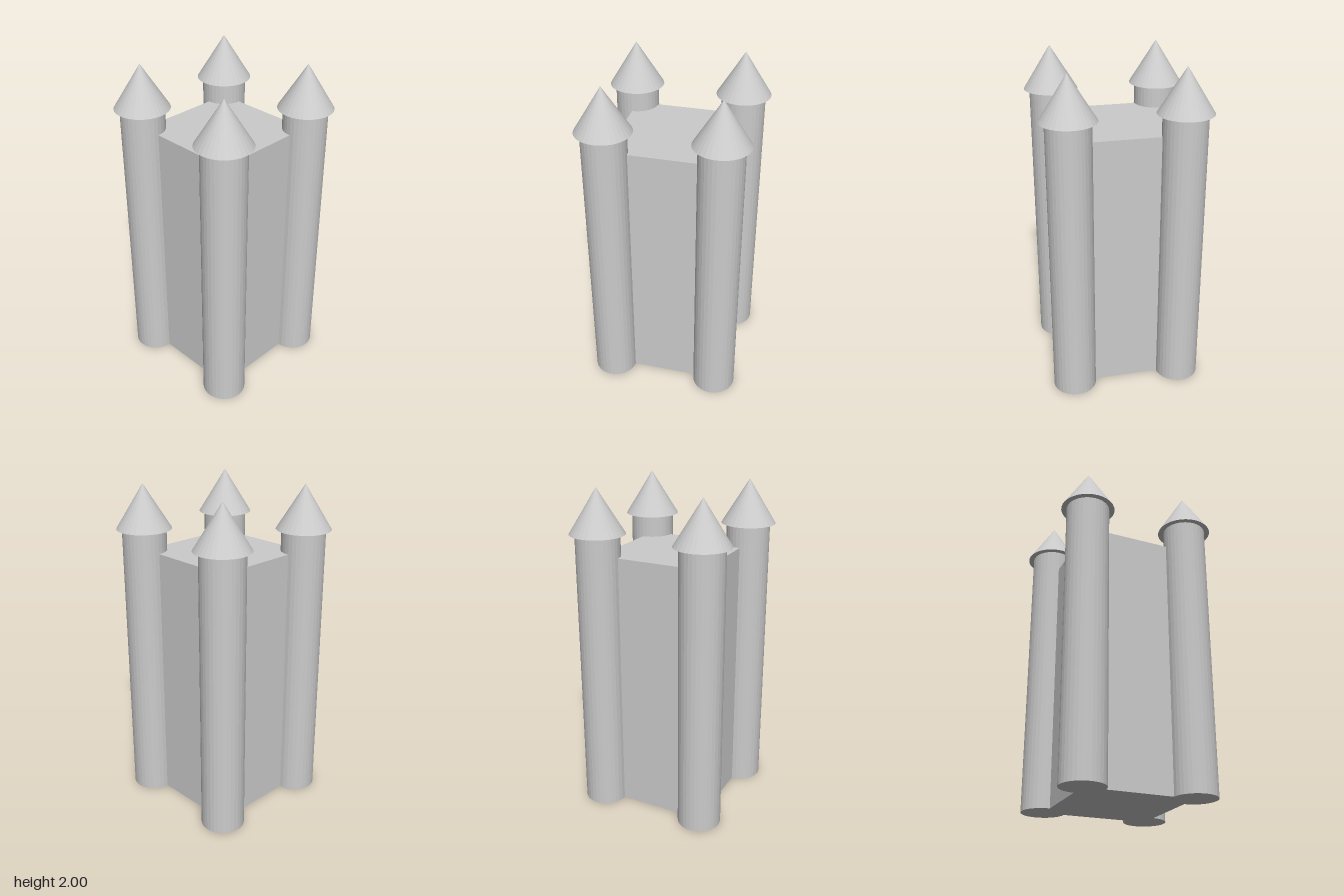
import * as THREE from 'three';

const material = new THREE.MeshStandardMaterial({ color: 0xcccccc, flatShading: true });

// Adds a mesh whose base sits at height y
function addPart(parent, name, geometry, height, y) {
  const mesh = new THREE.Mesh(geometry, material);
  mesh.name = name;
  mesh.position.y = y + height / 2;
  parent.add(mesh);
}

export function createModel() {
  const castle = new THREE.Group();
  castle.name = 'castle';

  const keepWidth = 0.665, keepHeight = 1.604;
  const towerHeight = 1.735, towerRadius = 0.132;
  const roofHeight = 2 - towerHeight, roofRadius = 0.165;
  const segments = 32;

  // Square central keep
  addPart(castle, 'keep', new THREE.BoxGeometry(keepWidth, keepHeight, keepWidth), keepHeight, 0);

  // Round tower with a conical roof, centred on each corner of the keep
  const wall = new THREE.CylinderGeometry(towerRadius, towerRadius, towerHeight, segments);
  const roof = new THREE.ConeGeometry(roofRadius, roofHeight, segments);
  for (const [front, z] of [['front', 1], ['back', -1]]) {
    for (const [side, x] of [['Left', 1], ['Right', -1]]) {
      const tower = new THREE.Group();
      tower.name = `${front}${side}Tower`;
      tower.position.set(x * keepWidth / 2, 0, z * keepWidth / 2);
      addPart(tower, 'towerWall', wall, towerHeight, 0);
      addPart(tower, 'towerRoof', roof, roofHeight, towerHeight);
      castle.add(tower);
    }
  }

  return castle;
}
